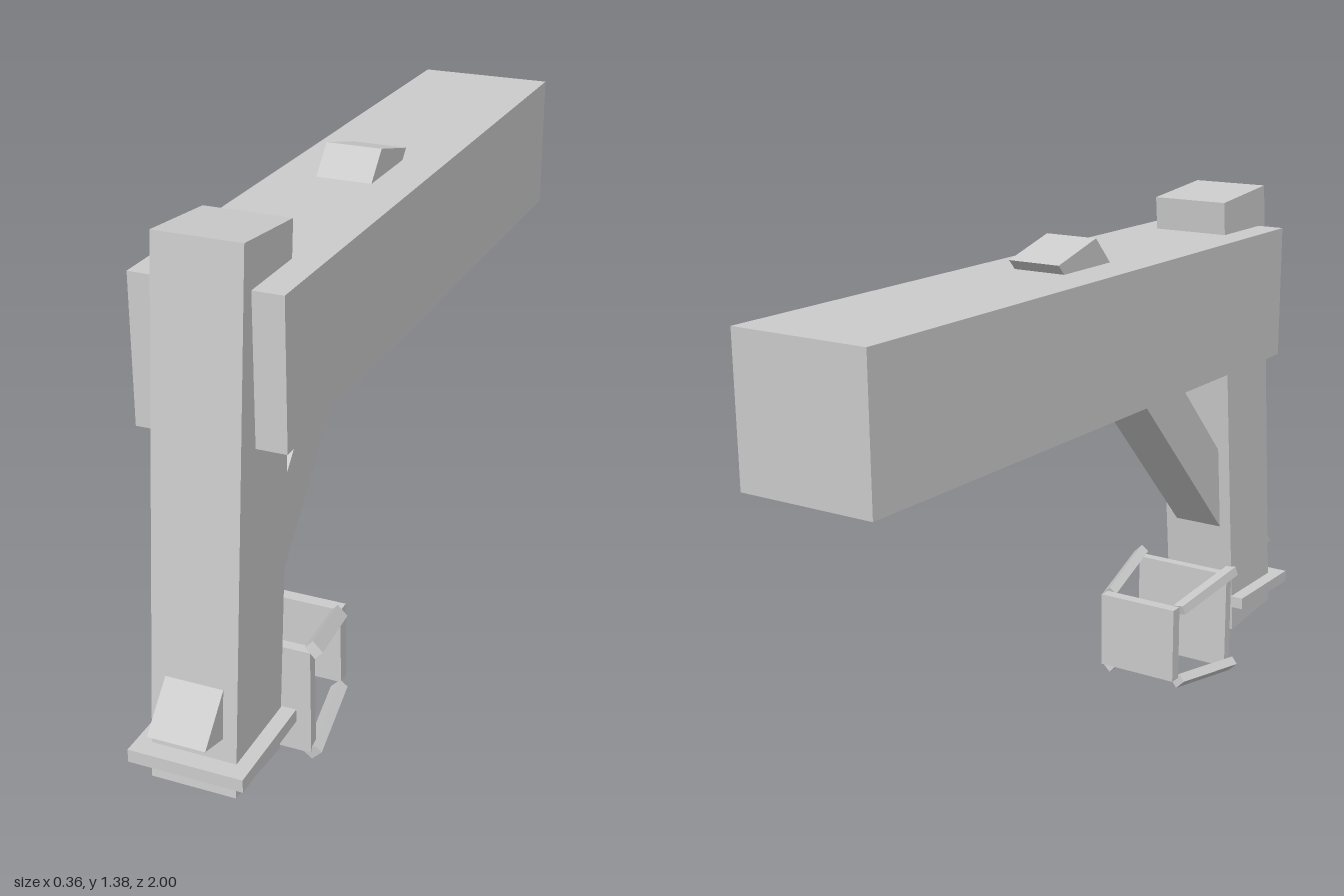
import * as THREE from 'three';

export function createModel() {
  const model = new THREE.Group();
  const material = new THREE.MeshStandardMaterial({ color: 0xcccccc, flatShading: true });

  const add = (name, geometry) => {
    const mesh = new THREE.Mesh(geometry, material);
    mesh.name = name;
    model.add(mesh);
    return mesh;
  };
  // Box given by its half width in x and its ranges in y and z
  const box = (name, halfX, y0, y1, z0, z1) => {
    const mesh = add(name, new THREE.BoxGeometry(halfX * 2, y1 - y0, z1 - z0));
    mesh.position.set(0, (y0 + y1) / 2, (z0 + z1) / 2);
    return mesh;
  };

  // Horizontal beam
  box('beam', 0.18, 0.92, 1.277, -1, 0.785);

  // Post leaning slightly backwards
  const post = add('post', new THREE.BoxGeometry(0.212, 1.276, 0.232));
  post.position.set(0, 0.74, 0.755);
  post.rotation.x = -0.0945;

  // Diagonal brace: a slanted parallelogram in the side plane, extruded across x
  const outline = new THREE.Shape(
    [[1.0, 0.28], [0.84, 0.237], [-0.168, 1.302], [-0.005, 1.345]].map(([z, y]) => new THREE.Vector2(-z, y))
  );
  const brace = new THREE.ExtrudeGeometry(outline, { depth: 0.143, bevelEnabled: false });
  brace.translate(0, 0, -0.0715);
  brace.rotateY(Math.PI / 2);
  add('brace', brace);

  // Collar around the foot of the post, and the peg behind it
  box('collar', 0.143, 0.17, 0.203, 0.685, 0.968);
  box('peg', 0.05, 0.155, 0.187, 0.6, 0.7);

  // Cage: two plates joined by four corner struts
  box('cageFrontPlate', 0.145, 0.027, 0.31, 0.58, 0.608);
  box('cageBackPlate', 0.117, 0.065, 0.277, 0.328, 0.361);

  const strut = (name, from, to, roll) => {
    const a = new THREE.Vector3(...from);
    const b = new THREE.Vector3(...to);
    const mesh = add(name, new THREE.BoxGeometry(0.036, 0.026, a.distanceTo(b)));
    mesh.position.copy(a).add(b).multiplyScalar(0.5);
    mesh.lookAt(a);
    mesh.rotateZ(roll);
  };
  const q = Math.PI / 4;
  strut('leftUpperStrut', [0.152, 0.318, 0.602], [0.113, 0.268, 0.362], -q);
  strut('rightUpperStrut', [-0.15, 0.318, 0.602], [-0.115, 0.268, 0.362], -0.2);
  strut('leftLowerStrut', [0.147, 0.026, 0.602], [0.113, 0.052, 0.362], q);
  strut('rightLowerStrut', [-0.155, 0.032, 0.602], [-0.115, 0.055, 0.362], -q);

  return model;
}
